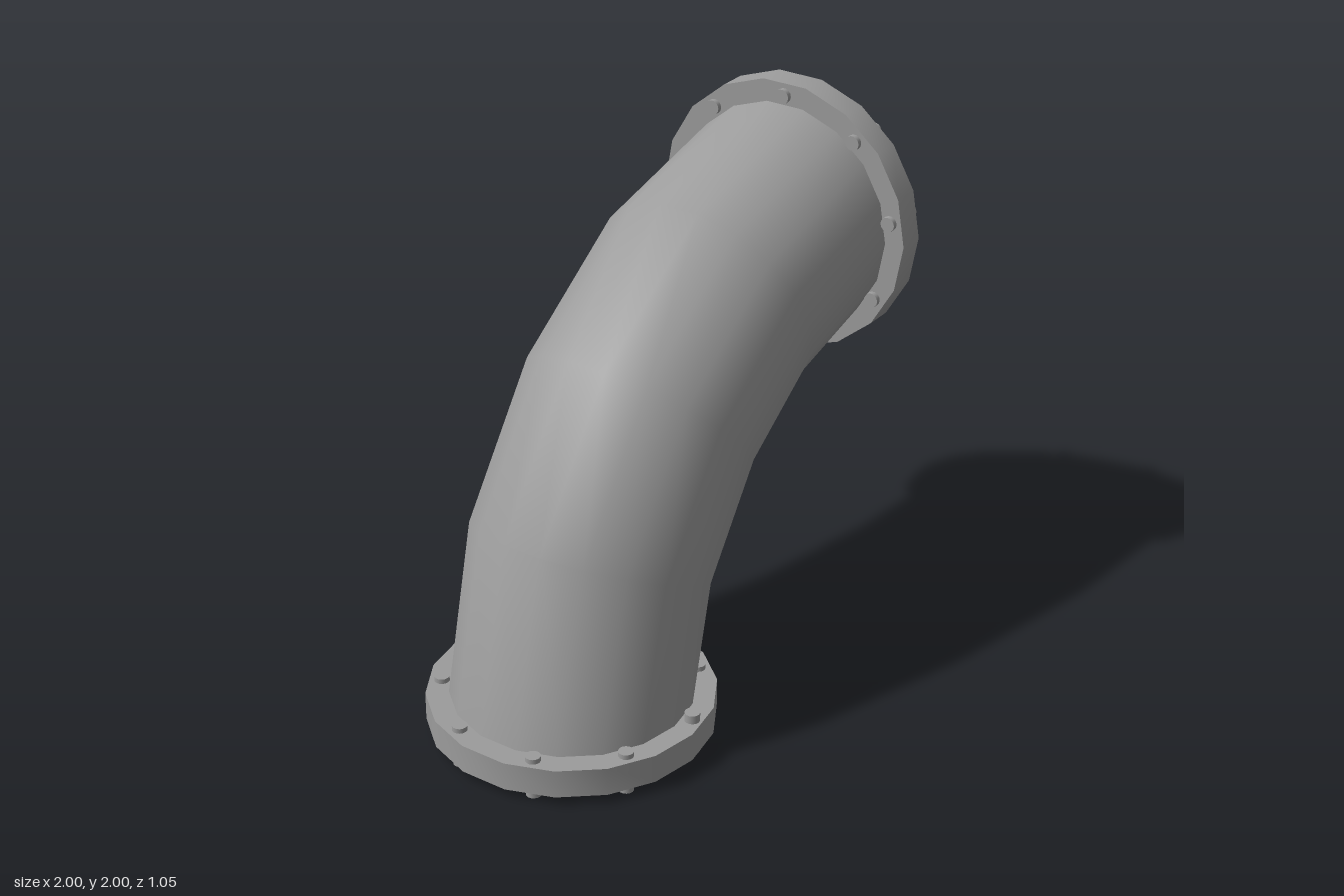
import * as THREE from 'three';
import { toCreasedNormals } from 'three/addons/utils/BufferGeometryUtils.js';

const SIDES = 18;
const material = new THREE.MeshStandardMaterial({ color: 0x9c9c9c });

// Stations of the bend: centre x, y and the tilt of the ring in degrees
const BEND = [
  [-0.355, 0.648, 24.7],
  [-0.06, 1.063, 45],
  [0.361, 1.355, 65.5],
];

// Sweeps a ring along the bend; inward turns the faces to the inside
function bendTube(radius, startY, endX, inward) {
  const stations = [[-0.483, startY, 0], ...BEND, [endX, 1.488, 90]];
  const positions = [], indices = [];
  stations.forEach(([x, y, deg], i) => {
    const t = THREE.MathUtils.degToRad(deg);
    for (let j = 0; j < SIDES; j++) {
      const a = ((j + 0.5) / SIDES) * Math.PI * 2;
      const r = radius * Math.cos(a);
      positions.push(x - r * Math.cos(t), y + r * Math.sin(t), radius * Math.sin(a) + 0.005 - 0.002 * i);
      if (i === stations.length - 1) continue;
      const p = i * SIDES + j, q = i * SIDES + ((j + 1) % SIDES);
      const faces = [p, q, p + SIDES, q, q + SIDES, p + SIDES];
      indices.push(...(inward ? faces.reverse() : faces));
    }
  });
  const geometry = new THREE.BufferGeometry();
  geometry.setAttribute('position', new THREE.Float32BufferAttribute(positions, 3));
  geometry.setIndex(indices);
  geometry.computeVertexNormals();
  return geometry;
}

function addMesh(parent, name, geometry) {
  const mesh = new THREE.Mesh(geometry, material);
  mesh.name = name;
  parent.add(mesh);
  return mesh;
}

// Ring flange with nine bolts; its open face looks down -y
function createFlange(name) {
  const flange = new THREE.Group();
  flange.name = name;
  const h = 0.054;
  const profile = [[0.317, -h], [0.521, -h], [0.521, h], [0.317, h]]
    .map(([r, y]) => new THREE.Vector2(r, y));
  const ring = new THREE.LatheGeometry(profile, SIDES);
  addMesh(flange, 'flangeRing', toCreasedNormals(ring, Math.PI / 6));

  const boltGeometry = new THREE.CylinderGeometry(0.028, 0.028, 0.16, 14);
  for (let i = 0; i < 9; i++) {
    const a = (i / 9) * Math.PI * 2;
    const bolt = addMesh(flange, 'bolt', boltGeometry);
    bolt.position.set(0.467 * Math.cos(a), -0.0075, 0.467 * Math.sin(a));
  }
  return flange;
}

export function createModel() {
  const model = new THREE.Group();
  model.name = 'pipeElbow';

  // Outer wall and bore
  addMesh(model, 'pipeWall', bendTube(0.441, 0.12, 0.88, false));
  addMesh(model, 'pipeBore', bendTube(0.317, 0.0335, 0.967, true));

  // Flange at the foot, with one bolt sitting slightly proud
  const bottomFlange = createFlange('bottomFlange');
  bottomFlange.position.set(-0.484, 0.0875, 0.005);
  const proudBolt = bottomFlange.children[3];
  proudBolt.position.add(new THREE.Vector3(-0.008, 0.014, 0.01));
  model.add(bottomFlange);

  // Flange at the side outlet
  const sideFlange = createFlange('sideFlange');
  sideFlange.rotation.z = Math.PI / 2;
  sideFlange.position.set(0.913, 1.487, -0.006);
  model.add(sideFlange);

  return model;
}
